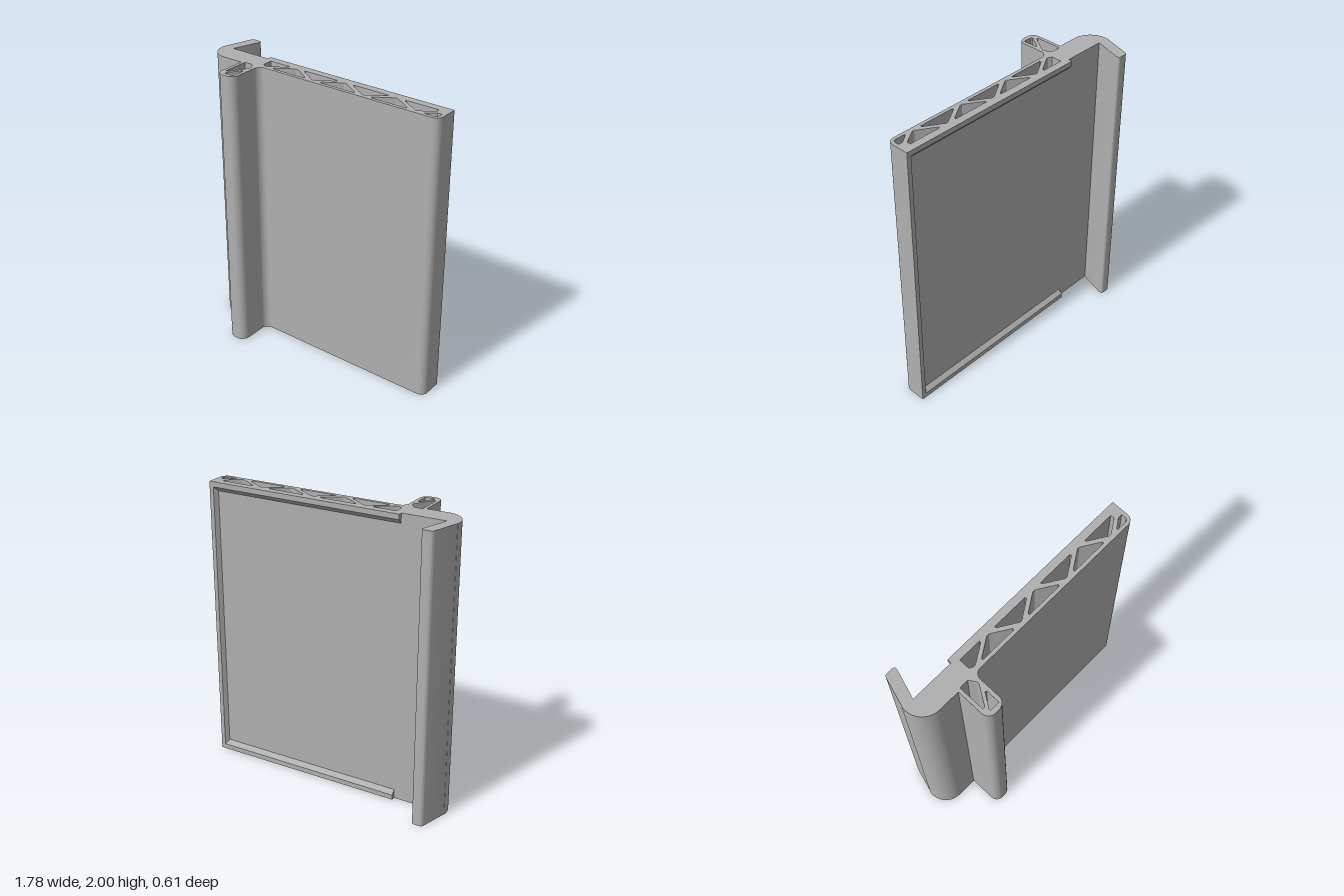
import * as THREE from 'three';
import { toCreasedNormals } from 'three/addons/utils/BufferGeometryUtils.js';

const HEIGHT = 2;
const BACK = -0.116, PANEL = -0.088; // rim face and recessed panel face (z)

// Closed outline from [x, z] points (drawn with y = -z, then laid flat)
const outline = (pts, Type = THREE.Path) => new Type(pts.map(([x, z]) => new THREE.Vector2(x, -z)));

// Upright prism from a plan shape
function upright(shape) {
  const geo = new THREE.ExtrudeGeometry(shape, { depth: HEIGHT, bevelEnabled: false, curveSegments: 14 });
  geo.rotateX(-Math.PI / 2);
  return toCreasedNormals(geo, 0.5);
}

// Outer plan of hook, panel and grip rib
function bodyShape() {
  const s = new THREE.Shape();
  const line = (x, z) => s.lineTo(x, -z);
  const curve = (cx, cz, x, z) => s.quadraticCurveTo(cx, -cz, x, -z);
  const arc = (cx, cz, r, a, b, cw = false) => s.absarc(cx, -cz, r, a, b, cw);
  const P = Math.PI;
  s.moveTo(-0.51, -PANEL);
  line(-0.81, PANEL);
  line(-0.749, -0.28);
  curve(-0.745, -0.305, -0.77, -0.305);
  line(-0.805, -0.305);
  curve(-0.824, -0.305, -0.83, -0.283);
  line(-0.885, -0.1);
  arc(-0.75, -0.074, 0.14, P - 0.2, P * 1.5);
  line(-0.605, 0.066);
  arc(-0.55, 0.25, 0.055, P, P * 1.5);
  arc(-0.52, 0.25, 0.055, P * 1.5, P * 2);
  arc(-0.415, 0.104, 0.05, P, P / 2, true);
  arc(0.84, 0.004, 0.05, P * 1.5, P * 2);
  line(0.89, PANEL);
  s.closePath();
  return s;
}

// Truss and rib openings
function openings() {
  const top = -0.064, low = 0.03;
  const holes = [
    [[-0.463, top], [-0.305, top], [-0.305, -0.053], [-0.425, 0.022], [-0.44, 0.022], [-0.463, 0.008]],
    [[0.587, top], [0.816, top], [0.816, -0.038], [0.722, 0.022], [0.708, 0.022], [0.587, -0.053]],
    [[0.775, low], [0.775, 0.022], [0.835, -0.02], [0.865, -0.02], [0.865, 0.015], [0.85, low]],
    [[-0.582, 0.055], [-0.52, 0.055], [-0.49, 0.098], [-0.49, 0.115], [-0.567, 0.237], [-0.582, 0.237]],
    [[-0.49, 0.175], [-0.49, 0.275], [-0.556, 0.275], [-0.559, 0.265], [-0.502, 0.175]],
  ];
  // Alternating triangles along the panel
  for (let i = 0; i < 5; i++) {
    const x = -0.243 + i * 0.1915, up = i % 2 === 0;
    const base = up ? low : top, edge = up ? 0.019 : -0.053, tip = up ? -0.056 : 0.022;
    holes.push([[x - 0.127, base], [x + 0.127, base], [x + 0.127, edge],
      [x + 0.008, tip], [x - 0.008, tip], [x - 0.127, edge]]);
  }
  return holes.map((h) => outline(h));
}

// Horizontal bevelled lip across the back, cross-section in (z, y)
function lipGeometry(flip) {
  const y = (v) => (flip ? HEIGHT - v : v);
  const section = [[PANEL, 0], [PANEL, 0.065], [BACK, 0.035], [BACK, 0]];
  const s = new THREE.Shape(section.map(([z, v]) => new THREE.Vector2(-z, y(v))));
  const geo = new THREE.ExtrudeGeometry(s, { depth: 1.4, bevelEnabled: false });
  geo.rotateY(Math.PI / 2); // section axis becomes -z, depth becomes +x
  geo.translate(-0.51, 0, 0);
  return geo;
}

export function createModel() {
  const group = new THREE.Group();
  const grey = new THREE.MeshStandardMaterial({ color: 0xb0b0b0 });
  grey.name = 'matte grey';
  const add = (name, geo) => {
    const mesh = new THREE.Mesh(geo, grey);
    mesh.name = name;
    group.add(mesh);
  };

  const body = bodyShape();
  body.holes.push(...openings());
  add('hookedPanel', upright(body));

  // Rim around the recess on the back
  add('sideRim', upright(outline([[0.84, PANEL], [0.86, BACK], [0.89, BACK], [0.89, PANEL]], THREE.Shape)));
  add('bottomLip', lipGeometry(false));
  add('topLip', lipGeometry(true));
  return group;
}
